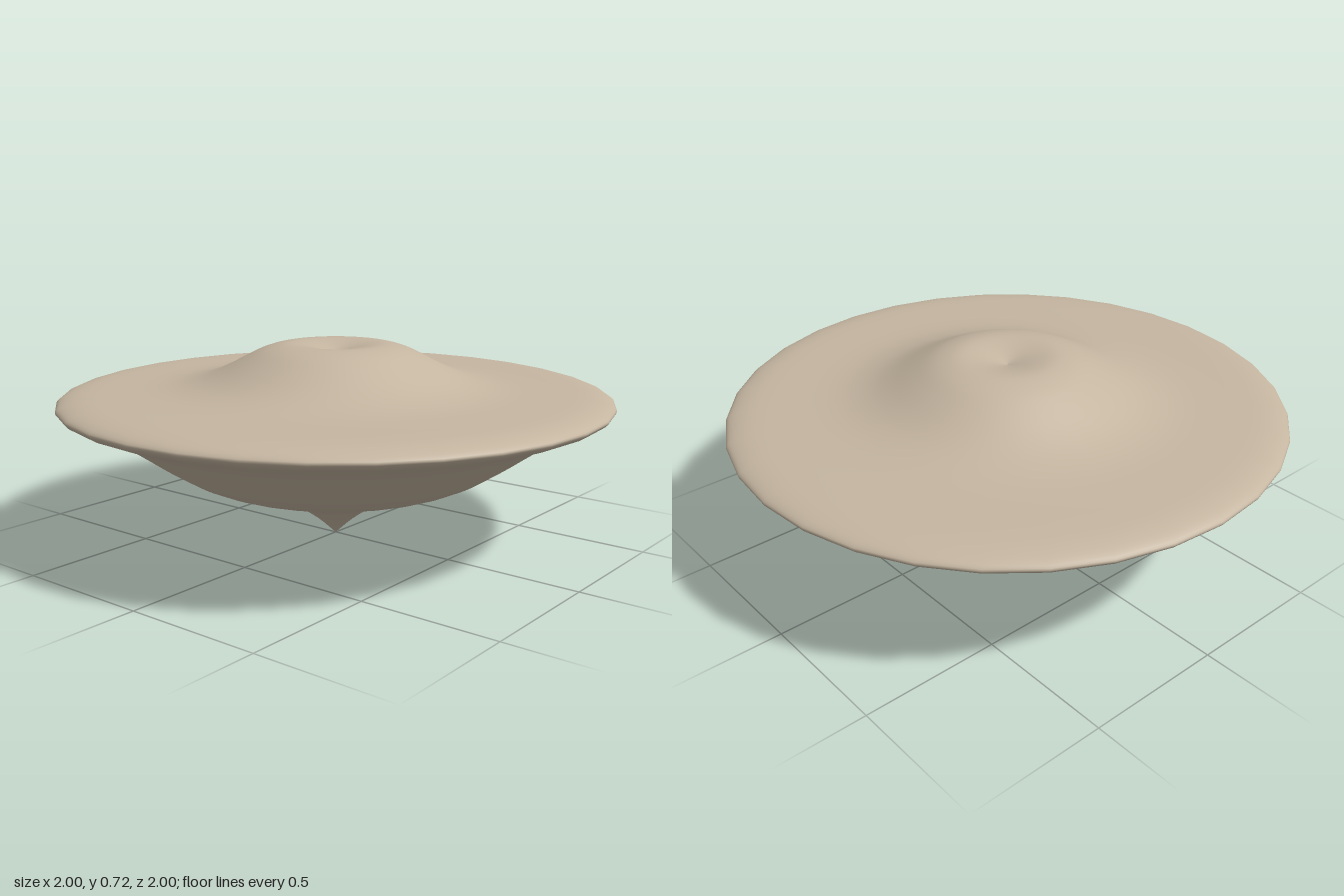
import * as THREE from 'three';

const SIDES = 32;

// Smooth curve through [radius, height] points
function smoothProfile(points, steps) {
  const curve = new THREE.CatmullRomCurve3(
    points.map(([r, y]) => new THREE.Vector3(r, y, 0)), false, 'centripetal');
  return curve.getPoints(steps).map((p) => new THREE.Vector2(Math.max(p.x, 0), p.y));
}

export function createModel() {
  const group = new THREE.Group();
  group.name = 'spinningTop';
  const material = new THREE.MeshStandardMaterial({ color: 0xc4b5a0 });

  // Pointed tip, flared bowl, thin rounded rim, flat plate and dimpled crown
  const profile = smoothProfile([
    // tip
    [0, 0], [0.07, 0.063], [0.15, 0.117], [0.24, 0.161], [0.32, 0.182],
    // bowl
    [0.42, 0.205], [0.5, 0.232], [0.57, 0.265], [0.65, 0.315], [0.75, 0.385],
    [0.84, 0.442], [0.9, 0.468], [0.95, 0.485],
    // rim
    [0.985, 0.502], [1, 0.52], [0.985, 0.535], [0.94, 0.549], [0.88, 0.556],
    // plate
    [0.75, 0.56], [0.65, 0.564], [0.57, 0.573], [0.49, 0.592],
    // crown and dimple
    [0.42, 0.62], [0.34, 0.661], [0.27, 0.695], [0.21, 0.712], [0.16, 0.716],
    [0.09, 0.705], [0, 0.68],
  ], 84);

  const body = new THREE.Mesh(new THREE.LatheGeometry(profile, SIDES), material);
  body.name = 'topBody';
  group.add(body);
  return group;
}
